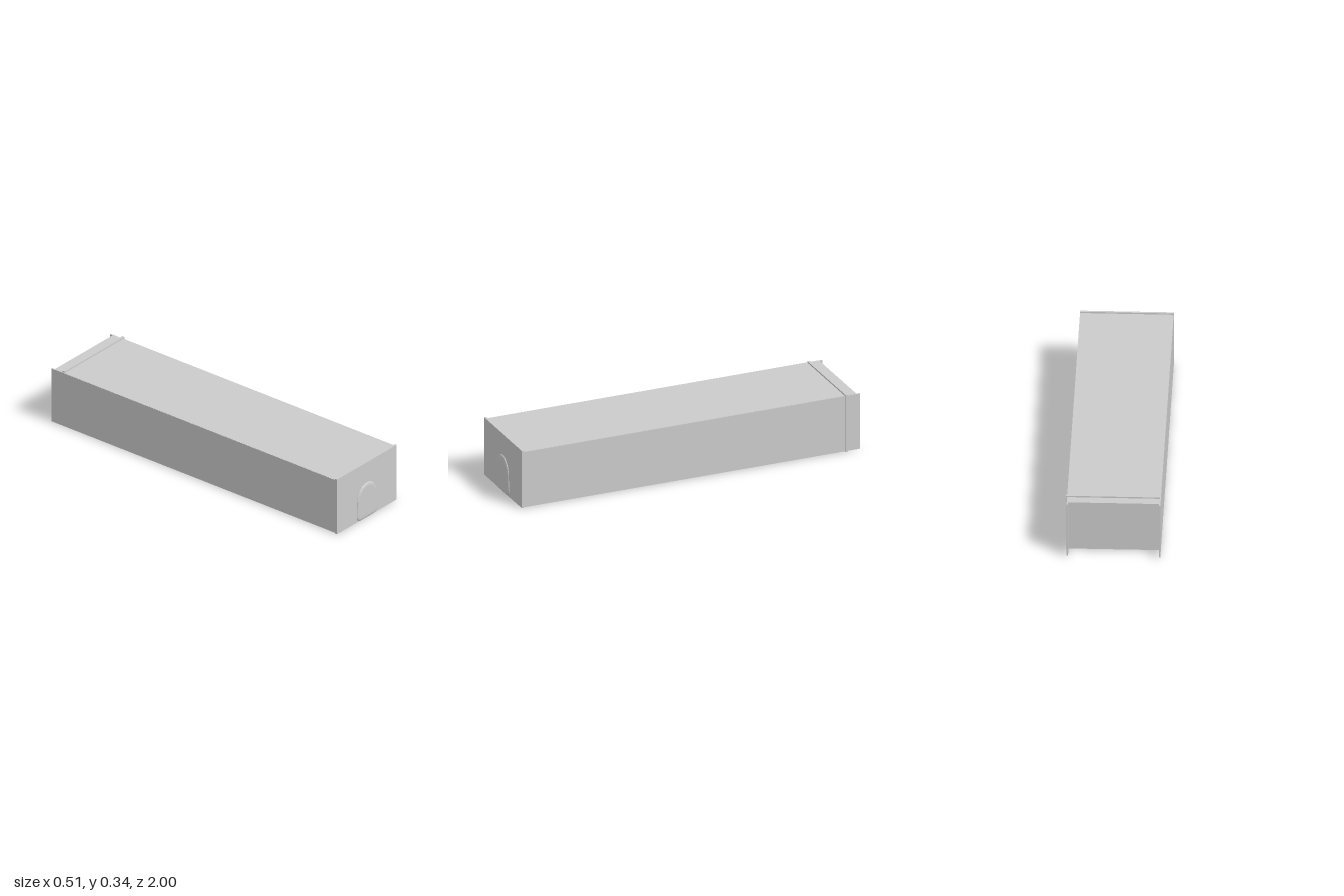
import * as THREE from 'three';

const grey = new THREE.MeshStandardMaterial({ color: 0xcccccc, side: THREE.DoubleSide });
const flatGrey = new THREE.MeshStandardMaterial({ color: 0xcccccc, flatShading: true });

export function createModel() {
  const model = new THREE.Group();
  const add = (name, geometry, material = grey) => {
    const mesh = new THREE.Mesh(geometry, material);
    mesh.name = name;
    model.add(mesh);
    return mesh;
  };
  // box given by its limits on each axis
  const panel = (name, [x0, x1], [y0, y1], [z0, z1]) =>
    add(name, new THREE.BoxGeometry(x1 - x0, y1 - y0, z1 - z0))
      .position.set((x0 + x1) / 2, (y0 + y1) / 2, (z0 + z1) / 2);

  // shell: the sides and top run past the recessed back wall
  panel('top', [-0.254, 0.248], [0.32, 0.33], [-0.98, 0.985]);
  panel('leftSide', [0.242, 0.25], [0.006, 0.329], [-1, 0.985]);
  panel('rightSide', [-0.255, -0.247], [0.006, 0.329], [-1, 0.985]);
  panel('backWall', [-0.248, 0.243], [0.008, 0.321], [-0.925, -0.915]);
  panel('frontPlate', [-0.257, 0.25], [0.003, 0.338], [0.98, 0.992]);
  panel('bottomFloor', [-0.248, 0.243], [0.02, 0.028], [-0.92, 0.985]);

  // narrow flange around the back end: over the top and down the left side
  panel('topFlange', [-0.25, 0.257], [0.325, 0.338], [-0.926, -0.911]);
  panel('leftFlange', [0.248, 0.257], [0.004, 0.338], [-0.926, -0.911]);

  // arched bulge on the front
  const arch = new THREE.Shape();
  arch.moveTo(-0.055, 0.025);
  arch.lineTo(0.055, 0.025);
  arch.quadraticCurveTo(0.065, 0.025, 0.064, 0.04);
  arch.lineTo(0.06, 0.125);
  arch.bezierCurveTo(0.055, 0.17, 0.03, 0.193, 0, 0.193);
  arch.bezierCurveTo(-0.03, 0.193, -0.055, 0.17, -0.06, 0.125);
  arch.lineTo(-0.064, 0.04);
  arch.quadraticCurveTo(-0.065, 0.025, -0.055, 0.025);
  const bulge = new THREE.ExtrudeGeometry(arch, {
    depth: 0.001, bevelThickness: 0.008, bevelSize: 0.022, bevelSegments: 8, curveSegments: 20,
  });
  add('frontBulge', bulge).position.set(-0.003, 0, 0.991);

  // underside: cross ribs with round bosses, and a shallow sloped pad in each bay
  const bay = 0.373;
  for (let i = 0; i < 5; i++) {
    const ribZ = 1 - bay * (i + 1);
    panel('bottomRib', [-0.247, 0.242], [0.006, 0.021], [ribZ - 0.006, ribZ + 0.006]);
    const pad = add('bottomPad',
      new THREE.CylinderGeometry(Math.SQRT2, 0.62 * Math.SQRT2, 0.008, 4, 1, false, Math.PI / 4), flatGrey);
    pad.scale.set(0.225, 1, 0.165);
    pad.position.set(-0.003, 0.017, ribZ + bay / 2);
    if (i === 4) continue;
    for (const side of [-1, 1]) {
      add('bottomBoss', new THREE.CylinderGeometry(0.035, 0.035, 0.012, 24))
        .position.set(side * 0.195, 0.015, ribZ);
    }
  }
  panel('backBottomRib', [-0.247, 0.242], [0.006, 0.021], [-0.925, -0.915]);

  // open ring under the back left corner
  const ring = [[0.032, 0.004], [0.042, 0.004], [0.042, 0.022], [0.032, 0.022], [0.032, 0.004]]
    .map(([r, y]) => new THREE.Vector2(r, y));
  add('bottomRing', new THREE.LatheGeometry(ring, 28),
    new THREE.MeshStandardMaterial({ color: 0xcccccc, flatShading: true, side: THREE.DoubleSide }))
    .position.set(0.14, 0, -0.88);

  return model;
}
